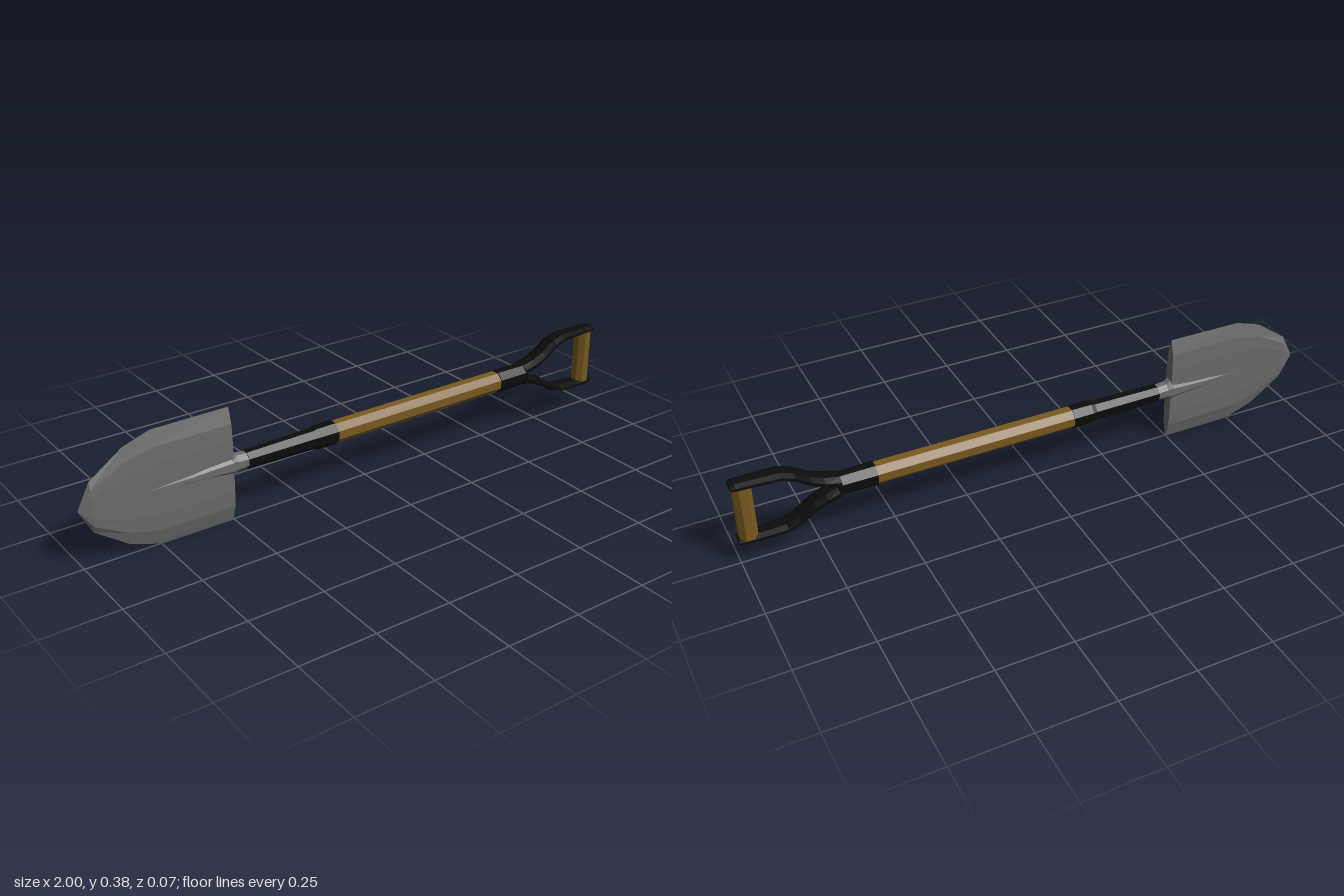
import * as THREE from 'three';

const CY = 0.194; // height of the shovel's long axis

// Joins closed (y, z) loops placed along x into a capped, faceted solid.
// rings: [x, loop], loop turning from +y towards +z
function loft(rings) {
  const n = rings[0][1].length;
  const pos = [];
  const v = (r, i) => [rings[r][0], rings[r][1][i % n][0], rings[r][1][i % n][1]];
  const tri = (a, b, c) => pos.push(...a, ...b, ...c);
  const last = rings.length - 1;
  for (let r = 0; r < last; r++) {
    for (let i = 0; i < n; i++) {
      tri(v(r, i), v(r, i + 1), v(r + 1, i));
      tri(v(r, i + 1), v(r + 1, i + 1), v(r + 1, i));
    }
  }
  for (let i = 1; i < n - 1; i++) {
    tri(v(0, 0), v(0, i + 1), v(0, i));
    tri(v(last, 0), v(last, i), v(last, i + 1));
  }
  const g = new THREE.BufferGeometry();
  g.setAttribute('position', new THREE.Float32BufferAttribute(pos, 3));
  g.computeVertexNormals();
  return g;
}

// Octagon with flat sides; hy and hz are half sizes across the flats
function octagon(cy, hy, hz) {
  const k = 1 / Math.cos(Math.PI / 8);
  return Array.from({ length: 8 }, (_, i) => {
    const a = (i + 0.5) * Math.PI / 4;
    return [cy + Math.cos(a) * hy * k, Math.sin(a) * hz * k];
  });
}

// Sharp-edged lens for the blade
function lens(h, t) {
  const half = [[h, 0], [0.73 * h, 0.82 * t], [0.45 * h, t], [-0.45 * h, t], [-0.73 * h, 0.82 * t]];
  return [...half, ...half.map(([y, z]) => [-y, -z])].map(([y, z]) => [CY + y, z]);
}

export function createModel() {
  const group = new THREE.Group();
  const mat = (name, color) => new THREE.MeshStandardMaterial({ name, color, flatShading: true });
  const steel = mat('steel', 0x6c6c6c);
  const wood = mat('wood', 0x7a5a20);
  const black = mat('black', 0x0c0c0c);
  const add = (name, geometry, material) => {
    const mesh = new THREE.Mesh(geometry, material);
    mesh.name = name;
    group.add(mesh);
    return mesh;
  };
  // Straight octagonal rod from [x, radius] steps
  const rod = (name, steps, material) =>
    add(name, loft(steps.map(([x, r]) => [x, octagon(CY, r, r)])), material);

  // Pointed blade
  add('blade', loft([
    [-1, 0.004, 0.002], [-0.96, 0.082, 0.012], [-0.85, 0.16, 0.012],
    [-0.76, 0.19, 0.015], [-0.5, 0.192, 0.018],
  ].map(([x, h, t]) => [x, lens(h, t)])), steel);

  // Tapered ridge running down both faces of the blade
  add('bladeRidge', loft([
    [-0.79, 0.005, 0.014], [-0.66, 0.016, 0.022], [-0.5, 0.034, 0.026],
  ].map(([x, hy, hz]) => [x, octagon(CY, hy, hz)])), steel);

  // Flared socket behind the blade
  add('socket', loft([
    [-0.505, 0.042, 0.024], [-0.485, 0.029, 0.025], [-0.44, 0.025, 0.025],
  ].map(([x, hy, hz]) => [x, octagon(CY, hy, hz)])), steel);

  // Shaft with its sleeves
  rod('lowerSleeve', [[-0.45, 0.028], [-0.21, 0.032], [-0.195, 0.036], [-0.125, 0.037]], black);
  rod('shaft', [[-0.13, 0.034], [0.56, 0.034]], wood);
  rod('upperSleeve', [[0.555, 0.037], [0.68, 0.035]], black);

  // Forked arms: x, inner edge, outer edge (from the axis), half depth
  const arm = [
    [0.67, 0.0, 0.035, 0.036], [0.72, 0.016, 0.046, 0.036], [0.76, 0.034, 0.064, 0.036],
    [0.81, 0.07, 0.096, 0.036], [0.85, 0.086, 0.109, 0.034], [0.94, 0.09, 0.111, 0.031],
    [0.985, 0.09, 0.111, 0.029], [1, 0.092, 0.107, 0.026],
  ];
  for (const [name, s] of [['upperArm', 1], ['lowerArm', -1]]) {
    add(name, loft(arm.map(([x, lo, hi, hz]) =>
      [x, octagon(CY + s * (lo + hi) / 2, (hi - lo) / 2, hz)])), black);
  }

  // Cross grip
  const grip = new THREE.CylinderGeometry(0.031, 0.031, 0.192, 8, 1).rotateY(Math.PI / 8);
  add('grip', grip, wood).position.set(0.966, CY, 0);

  return group;
}
